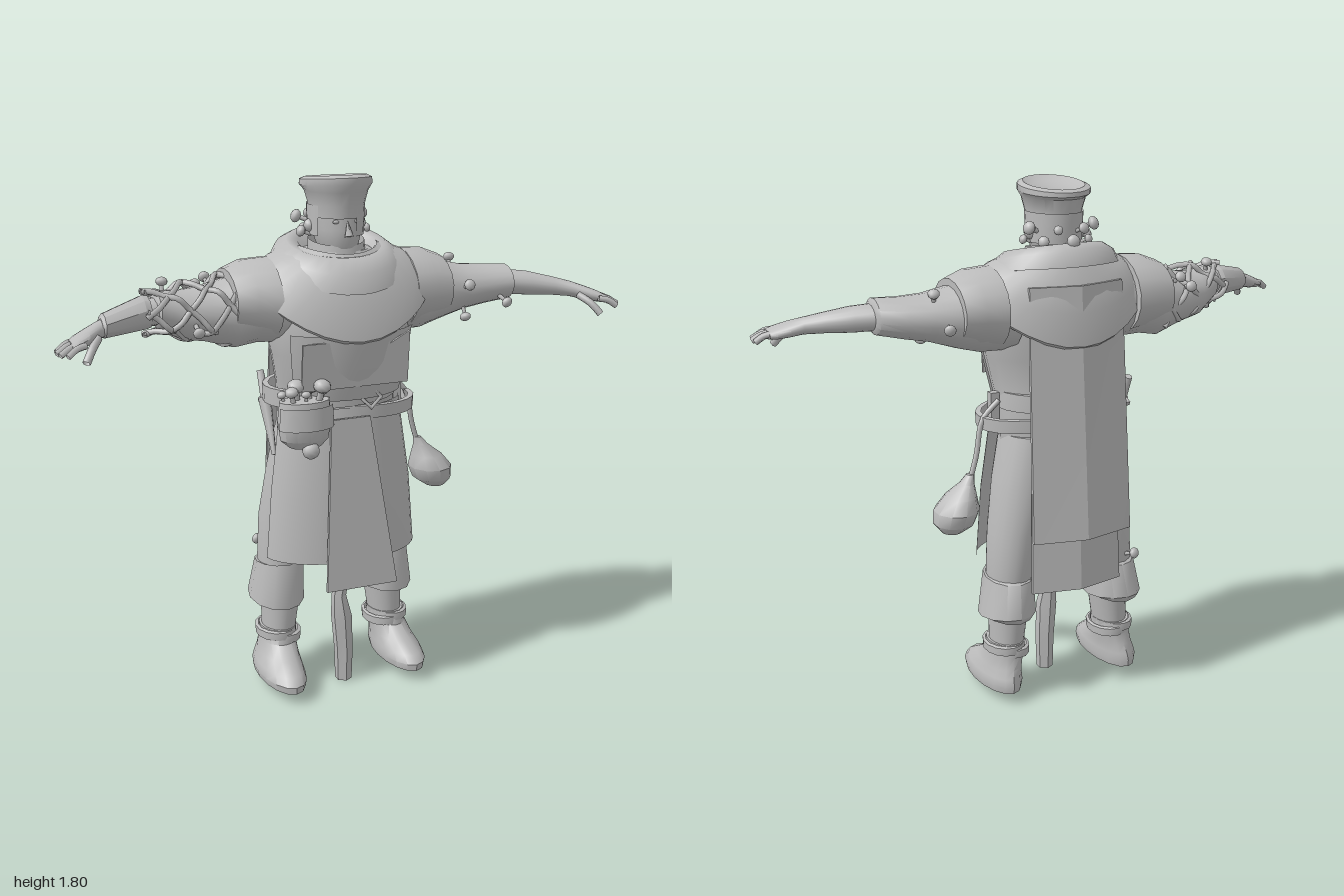
import * as THREE from 'three';
import { toCreasedNormals } from 'three/addons/utils/BufferGeometryUtils.js';

const grey = new THREE.MeshStandardMaterial({ color: 0xbcbcbc, side: THREE.DoubleSide });
grey.name = 'plainGrey';
const V = (x, y, z) => new THREE.Vector3(x, y, z);

// Elliptical cross-sections joined into a skin.
// Axis y rows: [y, cx, cz, rx, rz, dip, tilt]; axis x rows: [x, cy, cz, ry, rz].
function loft(rows, { axis = 'y', n = 20, from = 0, to = Math.PI * 2, cap = true, crease = 0.7 } = {}) {
  const closed = to - from > 6.28, m = closed ? n : n + 1, pos = [], idx = [];
  rows.forEach(([t, a, b, ra, rb, dip = 0, tilt = 0]) => {
    for (let j = 0; j < m; j++) {
      const q = from + (to - from) * j / n, c = Math.cos(q), s = Math.sin(q);
      if (axis === 'y') pos.push(a + ra * s, t - dip * c * c + tilt * c, b + rb * c);
      else pos.push(t, a + ra * c, b + rb * s);
    }
  });
  for (let i = 0; i < rows.length - 1; i++) for (let j = 0; j < n; j++) {
    const k = (j + 1) % m, a = i * m + j, b = i * m + k, c = a + m, d = b + m;
    idx.push(a, b, d, a, d, c);
  }
  if (closed && cap) [0, rows.length - 1].forEach((i) => {
    const [t, a, b] = rows[i], v = pos.length / 3;
    pos.push(...(axis === 'y' ? [a, t, b] : [t, a, b]));
    for (let j = 0; j < n; j++) {
      const p = i * m + j, q = i * m + (j + 1) % m;
      idx.push(v, ...(i ? [p, q] : [q, p]));
    }
  });
  const g = new THREE.BufferGeometry();
  g.setAttribute('position', new THREE.Float32BufferAttribute(pos, 3));
  g.setIndex(idx);
  return toCreasedNormals(g, crease);
}
// Mirrors x-axis rows for the model's right side
const mirrorRows = (rows) => rows.map(([x, ...r]) => [-x, ...r]).reverse();
const tube = (pts, r, seg = 12, sides = 6) => new THREE.TubeGeometry(new THREE.CatmullRomCurve3(pts), seg, r, sides);

export function createModel() {
  const root = new THREE.Group();
  const add = (name, geo, parent = root) => {
    const mesh = new THREE.Mesh(geo, grey);
    mesh.name = name;
    parent.add(mesh);
    return mesh;
  };
  const plate = (name, pts, depth, x = 0, y = 0, z = 0) => {
    const s = new THREE.Shape(pts.map(p => new THREE.Vector2(...p)));
    const mesh = add(name, new THREE.ExtrudeGeometry(s, { depth, bevelEnabled: false }));
    mesh.position.set(x, y, z);
    return mesh;
  };
  // Mushroom: stalk and domed cap growing along a direction
  const mushroom = (p, dir, s) => {
    const g = new THREE.Group();
    g.name = 'mushroom';
    add('stalk', new THREE.CylinderGeometry(s * 0.3, s * 0.4, s * 2, 6), g).position.y = s;
    add('cap', new THREE.SphereGeometry(s, 10, 7), g).position.y = s * 2;
    g.children[1].scale.y = 0.75;
    g.position.copy(p);
    g.quaternion.setFromUnitVectors(V(0, 1, 0), dir.normalize());
    root.add(g);
  };

  // Torso and hips
  add('torso', loft([[0.82, 0, -0.02, 0.19, 0.11], [0.92, 0, -0.01, 0.21, 0.13], [1.04, 0, 0, 0.21, 0.14],
    [1.12, 0, 0.02, 0.22, 0.155], [1.22, 0, 0.03, 0.24, 0.165], [1.36, 0, 0.015, 0.27, 0.175],
    [1.47, 0, 0, 0.25, 0.14], [1.55, 0, 0, 0.12, 0.1]]));
  // Chest flap with a notched upper edge
  add('chestFlap', loft([[1.07, 0, 0.02, 0.225, 0.165], [1.2, 0, 0.035, 0.25, 0.185], [1.3, 0, 0.04, 0.26, 0.195]],
    { from: -1.0, to: 1.0, n: 14 }));
  plate('bib', [[-0.2, -0.08], [0.18, -0.08], [0.18, 0.1], [0.11, 0.06], [0.09, 0.1], [-0.08, 0.06], [-0.1, 0.08], [-0.2, 0.08]],
    0.008, 0, 1.2, 0.2).rotation.x = 0.08;
  // Belts and buckle
  [[1.075, 0.03], [1.02, 0.022]].forEach(([y, h], i) => add('belt', loft([[y - h, 0, 0, 0.215, 0.155], [y - h, 0, 0, 0.235, 0.172],
    [y + h, 0, 0, 0.235, 0.172], [y + h, 0, 0, 0.215, 0.155]], { cap: false, n: 24 })).rotation.z = i ? -0.05 : 0.02);
  add('buckle', new THREE.TorusGeometry(0.035, 0.008, 6, 4, Math.PI * 2)).position.set(0.06, 1.07, 0.175);
  add('beltLoop', new THREE.BoxGeometry(0.03, 0.11, 0.03)).position.set(0.23, 1.05, 0);
  // Open-backed skirt and front tabard
  add('skirt', loft([[0.5, 0, 0.03, 0.28, 0.175], [0.75, 0, 0.03, 0.26, 0.165], [1.04, 0, 0.02, 0.22, 0.15]],
    { from: -1.42, to: 1.42, n: 18 }));
  plate('tabard', [[-0.09, 0.6], [0.05, 0.6], [0.14, 0], [-0.12, 0]], 0.012, 0, 0.41, 0.214).rotation.x = -0.06;

  // Cape panels with a raised centre fold
  const panel = (name, rows) => {
    const g = new THREE.BufferGeometry(), pos = [], idx = [];
    rows.forEach(([y, z, w, fold]) => [0, 0.012].forEach(d => pos.push(-w, y, z + d, 0, y, z - fold + d, w, y, z + d)));
    const quad = (a, b, c, d) => idx.push(a, b, c, a, c, d);
    for (let i = 0; i < rows.length - 1; i++) {
      const a = i * 6, b = a + 6;
      for (let k = 0; k < 2; k++) { quad(a + k, a + k + 1, b + k + 1, b + k); quad(a + 4 + k, a + 3 + k, b + 3 + k, b + 4 + k); }
      quad(a + 3, a, b, b + 3); quad(a + 2, a + 5, b + 5, b + 2);
    }
    const e = (rows.length - 1) * 6;
    for (let k = 0; k < 2; k++) { quad(k, k + 3, k + 4, k + 1); quad(e + k, e + k + 1, e + k + 4, e + k + 3); }
    g.setAttribute('position', new THREE.Float32BufferAttribute(pos, 3));
    g.setIndex(idx);
    add(name, toCreasedNormals(g, 0.3));
  };
  panel('outerCape', [[1.48, -0.16, 0.17, 0.04], [1.25, -0.175, 0.175, 0.035], [0.62, -0.215, 0.185, 0.042]]);
  panel('innerCape', [[1.2, -0.14, 0.15, 0.03], [0.42, -0.172, 0.17, 0.036]]);

  // Mantle and rolled cowl
  add('mantle', loft([[1.435, 0, 0.015, 0.325, 0.215, 0.165], [1.445, 0, 0.015, 0.335, 0.228, 0.165],
    [1.49, 0, 0.01, 0.31, 0.215, 0.1], [1.54, 0, 0, 0.23, 0.18, 0.05], [1.57, 0, 0, 0.14, 0.14, 0.02]], { n: 32, cap: false }));
  add('cowl', loft([[1.5, 0, 0.01, 0.2, 0.17, 0, -0.045], [1.505, 0, 0.015, 0.23, 0.205, 0.02, -0.055],
    [1.545, 0, 0.015, 0.21, 0.185, 0, -0.05], [1.575, 0, 0.01, 0.17, 0.145, 0, -0.035],
    [1.57, 0, 0.01, 0.13, 0.115, 0, -0.03], [1.5, 0, 0.01, 0.1, 0.09]], { n: 28, cap: false, crease: 1.2 }));
  add('neckBand', loft([[1.5, 0, 0.015, 0.1, 0.095], [1.585, 0, 0.01, 0.095, 0.09, 0, -0.015]], { cap: false }));

  // Head, nose, eyes and swept hair
  add('head', loft([[1.48, 0, -0.01, 0.06, 0.06], [1.545, 0, 0.015, 0.055, 0.075], [1.57, 0, 0.02, 0.068, 0.088],
    [1.62, 0, 0.01, 0.083, 0.098], [1.72, 0, 0.005, 0.086, 0.1]], { crease: 1.2 }));
  const nose = add('nose', new THREE.ConeGeometry(0.016, 0.055, 5));
  nose.position.set(0, 1.63, 0.112);
  nose.rotation.x = -0.25;
  [-1, 1].forEach(s => {
    const eye = add('eye', new THREE.SphereGeometry(0.013, 8, 6));
    eye.position.set(s * 0.035, 1.65, 0.097);
    eye.scale.set(1, 0.5, 0.4);
    add('ear', new THREE.SphereGeometry(0.022, 8, 6)).position.set(s * 0.09, 1.63, 0);
  });
  add('hair', loft([[1.6, 0, 0.005, 0.092, 0.104], [1.7, 0, 0.005, 0.095, 0.112]], { from: 0.35, to: 5.2 }));
  // Flared flat-topped hat
  const hat = add('hat', loft([[1.66, 0, 0.01, 0.088, 0.105], [1.7, 0, 0.01, 0.092, 0.108], [1.745, 0, 0.008, 0.105, 0.12],
    [1.763, 0, 0.005, 0.119, 0.135, 0, 0.008], [1.782, 0, 0.005, 0.118, 0.134, 0, 0.012],
    [1.79, 0, 0.005, 0.1, 0.115, 0, 0.012], [1.775, 0, 0.005, 0.07, 0.08, 0, 0.008]], { n: 24 }));
  hat.name = 'flaredHat';
  // Mushrooms around the back of the head
  for (let i = 0; i < 9; i++) {
    const q = Math.PI * (0.5 + i / 8), s = 0.016 + 0.007 * ((i * 5) % 3) / 2;
    mushroom(V(0.085 * Math.sin(q), 1.6 + 0.04 * (i % 2), 0.095 * Math.cos(q)), V(Math.sin(q), 0.35, Math.cos(q)), s);
  }

  // Arms: sleeve, cuff and forearm
  const sleeve = [[0.18, 1.39, 0, 0.14, 0.14], [0.3, 1.385, -0.005, 0.13, 0.14], [0.37, 1.38, -0.01, 0.105, 0.125],
    [0.47, 1.385, 0, 0.078, 0.108], [0.55, 1.39, 0.01, 0.068, 0.095], [0.63, 1.397, 0.035, 0.06, 0.075], [0.64, 1.397, 0.037, 0.045, 0.055]];
  const forearm = [[0.6, 1.397, 0.03, 0.045, 0.06], [0.7, 1.39, 0.06, 0.042, 0.055], [0.78, 1.38, 0.095, 0.033, 0.043],
    [0.84, 1.37, 0.125, 0.027, 0.036], [0.88, 1.358, 0.15, 0.025, 0.05], [0.92, 1.347, 0.17, 0.02, 0.052], [0.94, 1.342, 0.18, 0.014, 0.045]];
  const shoulder = [[0.24, 1.4, -0.005, 0.135, 0.165], [0.32, 1.405, -0.01, 0.125, 0.16], [0.385, 1.4, -0.01, 0.105, 0.14], [0.385, 1.4, -0.01, 0.09, 0.12]];
  // Torn, drooping sleeve on the right
  const torn = sleeve.map(([x, y, z, a, b], i) => [x, y - (i > 1 && i < 5 ? 0.02 : 0), z, a + (i > 1 && i < 5 ? 0.012 : 0), b]);
  [1, -1].forEach(s => {
    const flip = s > 0 ? (r) => r : mirrorRows, o = { axis: 'x', n: 18 };
    add('sleeve', loft(flip(s > 0 ? sleeve : torn), o));
    add('forearm', loft(flip(forearm), o));
    add('shoulderCap', loft(flip(shoulder), o));
    for (let f = 0; f < 4; f++) {
      const z = 0.148 + f * 0.025, x = 0.925 - f * 0.008, l = [0.055, 0.068, 0.07, 0.06][f];
      add('finger', tube([V(s * x, 1.347, z), V(s * (x + l * 0.5), 1.342, z + 0.012), V(s * (x + l), 1.322, z + 0.022)], 0.011, 6));
    }
    add('thumb', tube([V(s * 0.85, 1.355, 0.17), V(s * 0.88, 1.33, 0.21), V(s * 0.905, 1.295, 0.235)], 0.013, 6));
  });
  add('vambrace', loft(mirrorRows([[0.66, 1.395, 0.045, 0.052, 0.064], [0.68, 1.395, 0.05, 0.056, 0.067], [0.82, 1.378, 0.112, 0.04, 0.05],
    [0.83, 1.376, 0.115, 0.03, 0.04]]), { axis: 'x', n: 10 }));
  // Roots twisting around the right sleeve
  for (let k = 0; k < 8; k++) {
    const pts = [];
    for (let i = 0; i <= 9; i++) {
      const t = i / 9, q = k * 0.785 + t * (k % 2 ? 4 : -3.4), w = 1 + 0.12 * Math.sin(i * 2.3 + k * 1.7);
      pts.push(V(-0.37 - 0.31 * t, 1.37 + 0.025 * t + (0.108 - 0.045 * t) * w * Math.cos(q), -0.01 + 0.06 * t + (0.128 - 0.055 * t) * w * Math.sin(q)));
    }
    add('root', tube(pts, 0.01, 36, 5));
  }
  // Mushrooms on the arms and knee
  [[0.45, 1.33, 0.07, 0.1, -1, 0.4], [0.46, 1.44, -0.06, 0.2, 1, -0.5], [0.58, 1.36, 0.09, 0.4, -0.5, 0.7], [0.43, 1.38, -0.1, 0.2, -0.4, -1],
    [0.44, 1.4, 0.1, 0, 0.4, 1], [-0.42, 1.44, -0.09, 0, 0.6, -1], [-0.6, 1.44, 0, 0.1, 1, -0.3], [-0.52, 1.35, 0.1, 0, -0.5, 1],
    [-0.45, 1.42, -0.12, 0.2, 0.3, -1], [0.15, 0.45, 0.07, 0.2, 0.3, 1], [-0.22, 0.48, -0.12, -0.6, 0.3, -1]]
    .forEach(([x, y, z, a, b, c]) => mushroom(V(x, y, z), V(a, b, c), 0.02));

  // Legs, knee cuffs, ankle straps and boots
  [1, -1].forEach(s => {
    add('trouserLeg', loft([[0.16, s * 0.21, -0.03, 0.055, 0.075], [0.3, s * 0.2, -0.03, 0.066, 0.08], [0.46, s * 0.195, -0.035, 0.08, 0.095],
      [0.62, s * 0.175, -0.035, 0.092, 0.105], [0.8, s * 0.13, -0.02, 0.11, 0.115], [0.96, s * 0.1, -0.01, 0.105, 0.12]]));
    add('kneeCuff', loft([[0.32, s * 0.21, -0.045, 0.085, 0.11, 0, 0.012], [0.315, s * 0.21, -0.045, 0.097, 0.122, 0, -0.015],
      [0.455, s * 0.2, -0.035, 0.084, 0.104, 0, 0.01], [0.455, s * 0.2, -0.035, 0.07, 0.09]], { cap: false, n: 12 }));
    [0.2, 0.165].forEach((y, i) => add('ankleStrap', loft([[y - 0.018, s * 0.21, -0.03, 0.06, 0.08], [y - 0.014, s * 0.21, -0.03, 0.07, 0.092],
      [y + 0.014, s * 0.21, -0.03, 0.07, 0.092], [y + 0.018, s * 0.21, -0.03, 0.06, 0.08]], { cap: false, n: 14 })).rotation.z = i ? 0.06 * s : -0.04 * s);
    add('boot', loft([[0.04, s * 0.23, 0.035, 0.074, 0.175], [0.065, s * 0.23, 0.035, 0.08, 0.178], [0.09, s * 0.228, 0.025, 0.074, 0.162],
      [0.12, s * 0.222, 0, 0.067, 0.125], [0.16, s * 0.215, -0.025, 0.063, 0.09], [0.21, s * 0.21, -0.03, 0.064, 0.085]], { n: 16 }));
  });

  // Faceted staff hanging between the legs
  add('hangingStaff', loft([[0, 0, 0.08, 0.03, 0.03], [0.12, 0, 0.08, 0.034, 0.032], [0.25, -0.01, 0.085, 0.038, 0.034],
    [0.33, -0.02, 0.085, 0.026, 0.026], [0.42, -0.005, 0.09, 0.024, 0.024], [0.55, 0, 0.09, 0.026, 0.024]], { n: 6, crease: 0.2 }));

  // Gourd bag swinging from the left hip
  add('bagStrap', tube([V(0.22, 1.08, -0.02), V(0.28, 1.02, -0.02), V(0.31, 0.9, -0.03), V(0.345, 0.79, -0.035)], 0.009));
  add('gourdBag', loft([[0.65, 0.41, -0.04, 0.035, 0.04], [0.68, 0.4, -0.04, 0.07, 0.075], [0.725, 0.39, -0.04, 0.078, 0.088],
    [0.77, 0.375, -0.04, 0.055, 0.065], [0.81, 0.35, -0.036, 0.026, 0.03], [0.84, 0.335, -0.034, 0.014, 0.015]], { n: 10 }));

  // Forager's pouch on the right hip
  add('pouch', loft([[0.93, -0.18, 0.18, 0.055, 0.035], [0.96, -0.185, 0.185, 0.085, 0.055], [1.03, -0.185, 0.185, 0.095, 0.06],
    [1.09, -0.185, 0.185, 0.088, 0.052]], { n: 12 }));
  add('pouchFlap', loft([[1.0, -0.185, 0.19, 0.1, 0.066], [1.075, -0.185, 0.19, 0.096, 0.06]], { from: -1.3, to: 1.3 }));
  add('pouchKnot', new THREE.SphereGeometry(0.03, 10, 8)).position.set(-0.175, 0.925, 0.215);
  for (let i = 0; i < 7; i++) mushroom(V(-0.25 + i * 0.022, 1.08, 0.17 + 0.03 * (i % 2)), V((i - 3.5) * 0.08, 1, 0.1 * (i % 3)), 0.016 + 0.007 * (i % 3));

  // Sheathed dagger behind the right hip
  const dagger = new THREE.Group();
  dagger.name = 'dagger';
  add('sheath', new THREE.CylinderGeometry(0.024, 0.008, 0.2, 6), dagger).position.y = -0.1;
  add('guard', new THREE.BoxGeometry(0.07, 0.015, 0.025), dagger);
  add('grip', new THREE.CylinderGeometry(0.013, 0.015, 0.09, 8), dagger).position.y = 0.05;
  dagger.position.set(-0.235, 1.04, -0.06);
  dagger.rotation.set(-0.45, Math.PI / 2, 0);
  root.add(dagger);
  return root;
}
